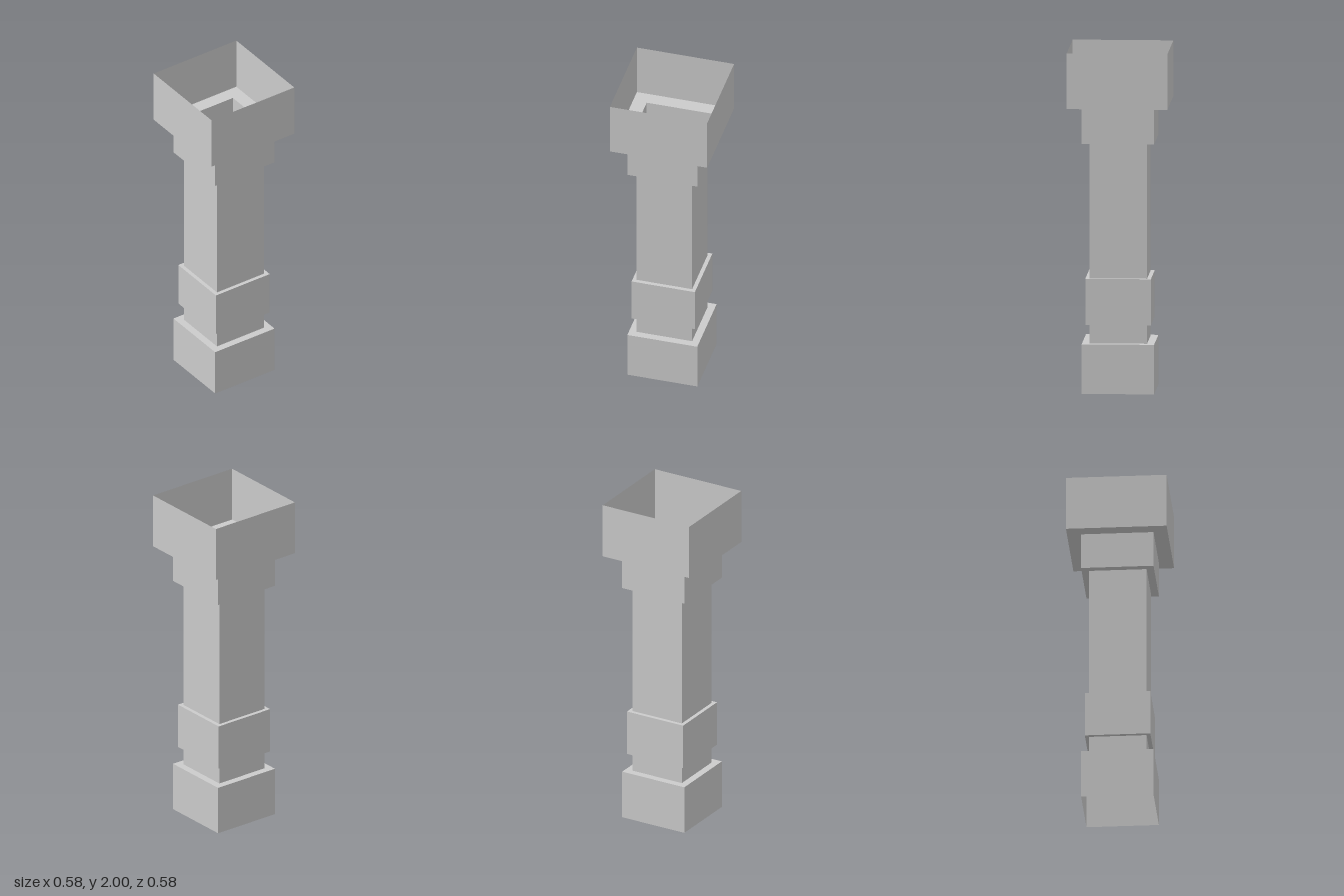
import * as THREE from 'three';

const material = new THREE.MeshStandardMaterial({
  color: 0xcccccc, flatShading: true, side: THREE.DoubleSide,
});

// Open square shell swept from [half width, height] points
function squareShell(name, profile) {
  const points = profile.map(([half, y]) => new THREE.Vector2(half * Math.SQRT2, y));
  const geometry = new THREE.LatheGeometry(points, 4, Math.PI / 4).toNonIndexed();
  geometry.computeVertexNormals();
  const mesh = new THREE.Mesh(geometry, material);
  mesh.name = name;
  return mesh;
}

export function createModel() {
  const group = new THREE.Group();
  group.name = 'hollowSquareColumn';
  const shaft = 0.167, base = 0.21, band = 0.19, collar = 0.21, capital = 0.292;

  group.add(
    // Base with the ledge stepping in to the shaft
    squareShell('base', [[base, 0], [base, 0.29], [shaft, 0.29]]),
    squareShell('neck', [[shaft, 0.29], [shaft, 0.4]]),
    // Raised band with a ledge below and above
    squareShell('band', [[shaft, 0.4], [band, 0.4], [band, 0.67], [shaft, 0.67]]),
    squareShell('shaft', [[shaft, 0.67], [shaft, 1.46]]),
    // Collar and open-topped capital step outwards
    squareShell('collar', [[shaft, 1.46], [collar, 1.46], [collar, 1.675]]),
    squareShell('capital', [[collar, 1.675], [capital, 1.675], [capital, 2]]),
  );
  return group;
}
